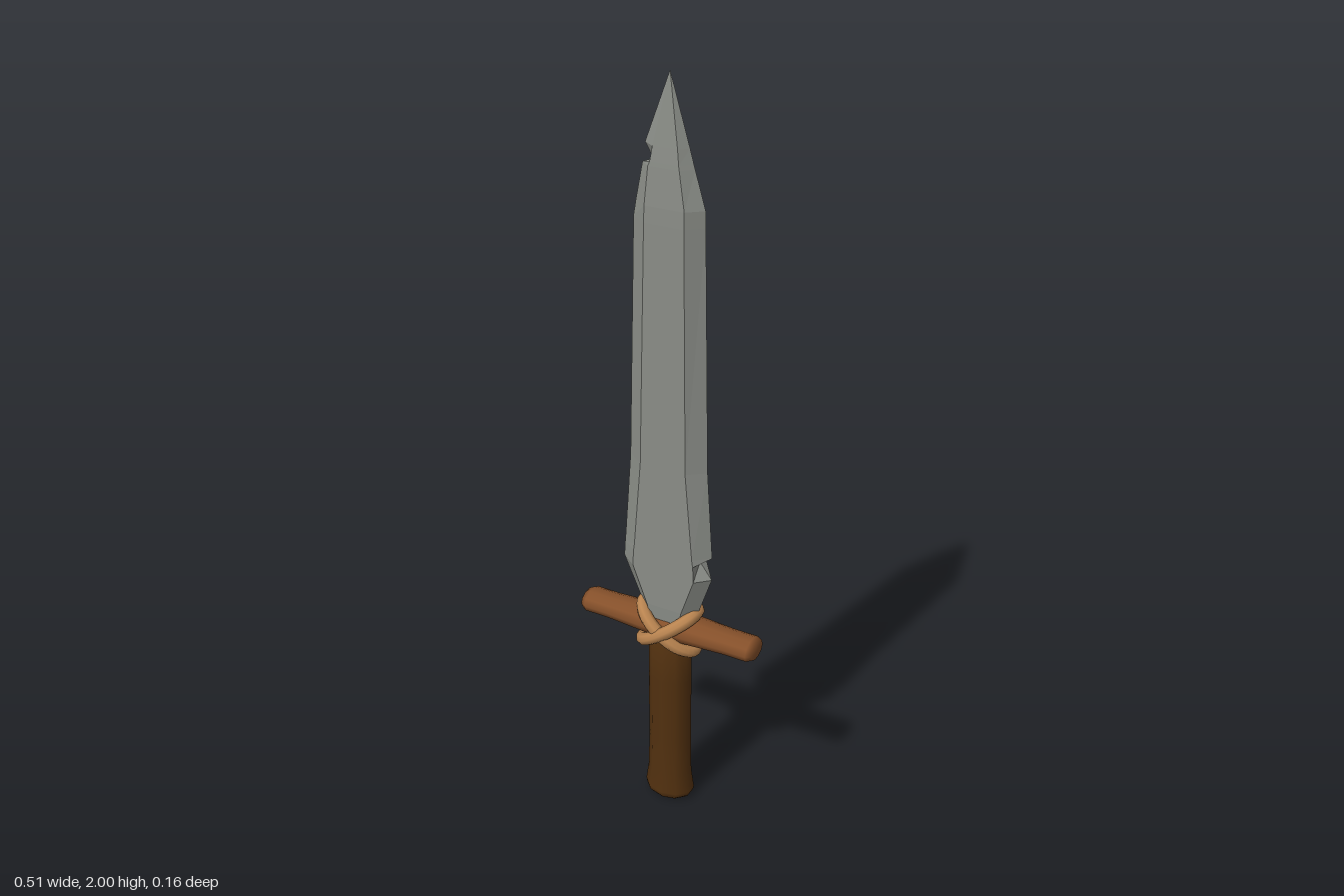
import * as THREE from 'three';

const mat = (name, color) => {
  const m = new THREE.MeshStandardMaterial({ color });
  m.name = name;
  return m;
};

// Blade rows: y, left edge, left bevel, right bevel, right edge, half thickness
const BLADE = [
  [0.54, -0.05, -0.03, 0.03, 0.05, 0.03],
  [0.63, -0.09, -0.05, 0.05, 0.085, 0.034],
  [0.735, -0.135, -0.09, 0.085, 0.12, 0.034],
  [0.78, -0.132, -0.088, 0.083, 0.086, 0.034],
  [0.80, -0.13, -0.085, 0.08, 0.12, 0.034],
  [1.04, -0.112, -0.065, 0.06, 0.104, 0.034],
  [1.66, -0.095, -0.05, 0.053, 0.091, 0.033],
  [1.70, -0.088, -0.049, 0.053, 0.09, 0.032],
  [1.79, -0.07, -0.042, 0.037, 0.063, 0.026],
  [1.80, -0.042, -0.038, 0.035, 0.06, 0.025],
  [1.835, -0.063, -0.033, 0.03, 0.05, 0.021],
  [2.0, 0, 0, 0, 0, 0],
];

// Faceted six-sided blade lofted through the rows
function bladeGeometry() {
  const rings = BLADE.map(([y, l, bl, br, r, z]) => [
    [l, y, 0], [bl, y, z], [br, y, z], [r, y, 0], [br, y, -z], [bl, y, -z],
  ]);
  const pos = [];
  for (let k = 0; k < rings.length - 1; k++) {
    for (let i = 0; i < 6; i++) {
      const j = (i + 1) % 6;
      const a = rings[k][i], b = rings[k][j], c = rings[k + 1][j], d = rings[k + 1][i];
      pos.push(...a, ...b, ...c);
      if (k < rings.length - 2) pos.push(...a, ...c, ...d);
    }
  }
  const g = new THREE.BufferGeometry();
  g.setAttribute('position', new THREE.Float32BufferAttribute(pos, 3));
  g.computeVertexNormals();
  return g;
}

const lathe = (pts, sides) =>
  new THREE.LatheGeometry(pts.map(([r, y]) => new THREE.Vector2(r, y)), sides);

// Cord loop tilted around the joint
function loopGeometry(tilt, depth) {
  const pts = [];
  for (let i = 0; i < 16; i++) {
    const t = (i / 16) * Math.PI * 2;
    pts.push(new THREE.Vector3(0.075 * Math.cos(t), 0.562 + tilt * 0.055 * Math.cos(t), depth * Math.sin(t)));
  }
  return new THREE.TubeGeometry(new THREE.CatmullRomCurve3(pts, true), 40, 0.0175, 8, true);
}

export function createModel() {
  const steel = mat('steel', 0x8a8d87);
  const darkWood = mat('dark wood', 0x51300f);
  const wood = mat('wood', 0x85502a);
  const cord = mat('cord', 0xb98450);

  const group = new THREE.Group();
  const add = (name, geometry, material) => {
    const m = new THREE.Mesh(geometry, material);
    m.name = name;
    group.add(m);
    return m;
  };

  add('blade', bladeGeometry(), steel);

  // Oval grip flaring at the foot
  const grip = add('grip', lathe([
    [0.058, 0.004], [0.068, 0.014], [0.07, 0.026], [0.062, 0.085],
    [0.06, 0.2], [0.06, 0.4], [0.058, 0.54], [0, 0.55],
  ], 10), darkWood);
  grip.scale.z = 0.75;

  // Cut end of the grip
  const cap = add('gripEnd', lathe([[0, 0], [0.058, 0.004]], 10), wood);
  cap.scale.z = 0.75;

  // Crossguard with bevelled ends
  const guard = lathe([
    [0, -0.253], [0.034, -0.252], [0.043, -0.238], [0.043, -0.17], [0.05, -0.06],
    [0.05, 0.06], [0.043, 0.17], [0.043, 0.238], [0.034, 0.252], [0, 0.253],
  ], 10);
  guard.rotateZ(Math.PI / 2);
  guard.scale(1, 0.72, 1);
  guard.translate(0, 0.564, 0);
  add('crossguard', guard, wood);

  // Two crossing cord loops
  add('cordLoopOver', loopGeometry(1, 0.063), cord);
  add('cordLoopUnder', loopGeometry(-1, 0.056), cord);

  return group;
}
